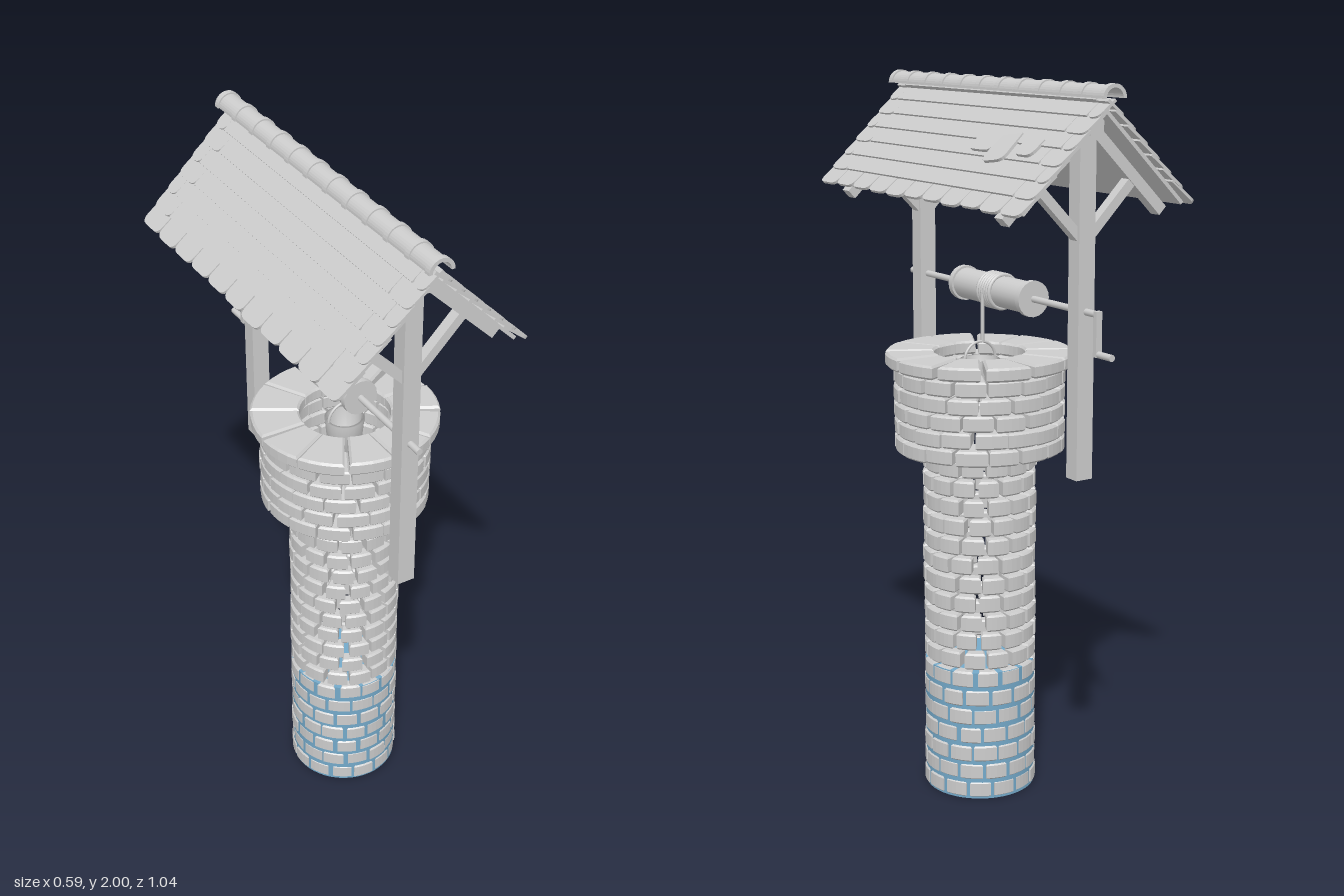
import * as THREE from 'three';
import { mergeGeometries } from 'three/addons/utils/BufferGeometryUtils.js';

const grey = new THREE.MeshStandardMaterial({ color: 0xcccccc });
grey.name = 'weathered grey';
const blue = new THREE.MeshStandardMaterial({ color: 0x74a9c9 });
blue.name = 'water blue';

const WELL_X = 0.037;   // axis of the masonry
const FRAME_X = -0.022; // axis of the timber frame and roof
const PITCH = 0.775;    // roof slope angle
const APEX = 1.957;

export function createModel() {
  const model = new THREE.Group();
  model.name = 'well';
  let seed = 7;
  const jitter = (a) => {
    seed = (seed * 16807) % 2147483647;
    return (seed / 2147483647 - 0.5) * 2 * a;
  };

  const add = (parent, name, geometry, x = 0, y = 0, z = 0, material = grey) => {
    const mesh = new THREE.Mesh(geometry, material);
    mesh.name = name;
    mesh.position.set(x, y, z);
    parent.add(mesh);
    return mesh;
  };
  const box = (w, h, d) => new THREE.BoxGeometry(w, h, d);
  const rod = (r, length) => new THREE.CylinderGeometry(r, r, length, 20).rotateX(Math.PI / 2);

  // One bevelled stone: a ring sector pushed upwards
  const stone = (inner, outer, a0, a1, y, height, bevel) => {
    const shape = new THREE.Shape();
    shape.absarc(0, 0, outer, a0, a1, false);
    shape.absarc(0, 0, inner, a1, a0, true);
    return new THREE.ExtrudeGeometry(shape, {
      depth: height - 2 * bevel, curveSegments: 2, bevelEnabled: true,
      bevelSize: bevel, bevelOffset: -bevel, bevelThickness: bevel, bevelSegments: 1,
    }).rotateX(-Math.PI / 2).translate(0, y + bevel, 0);
  };
  const course = (name, inner, outer, count, y, height, gap, start, bevel = 0.005) => {
    const step = (Math.PI * 2) / count;
    const half = gap / outer / 2;
    const stones = [];
    for (let i = 0; i < count; i++) {
      const a = start + i * step;
      stones.push(stone(inner, outer + jitter(0.002), a + half + jitter(0.02),
        a + step - half + jitter(0.02), y + jitter(0.0015), height, bevel));
    }
    add(model, name, mergeGeometries(stones), WELL_X, 0, 0);
  };

  // Masonry: shaft, wider head and coping
  for (let i = 0; i < 18; i++) {
    course('shaftCourse', 0.122, 0.158, 14, 0.003 + i * 0.055, 0.047, 0.011, (i % 2) * 0.224 + jitter(0.12));
  }
  for (let i = 0; i < 5; i++) {
    course('headCourse', 0.135, 0.235, 16, 0.99 + i * 0.047, 0.043, 0.009, (i % 2) * 0.196 + jitter(0.08));
  }
  course('copingStones', 0.125, 0.257, 12, 1.226, 0.038, 0.009, 0, 0.006);
  add(model, 'water', new THREE.CylinderGeometry(0.1555, 0.1555, 0.378, 48), WELL_X, 0.189, 0, blue);

  // Timber frame with braces
  for (const z of [-0.39, 0.39]) {
    add(model, 'post', box(0.05, 0.94, 0.046), FRAME_X, 1.45, z);
    for (const s of [-1, 1]) {
      const brace = add(model, 'brace', box(0.026, 0.22, 0.03), FRAME_X + s * 0.085, 1.685, z);
      brace.rotation.z = -s * 0.78;
    }
  }
  add(model, 'ridgeBeam', box(0.04, 0.045, 0.9), FRAME_X, 1.893, 0);

  // Roof tile with two rounded lower corners; its lower edge lies at x = 0
  const tile = (w, length, r = 0.024) => {
    const shape = new THREE.Shape();
    shape.moveTo(-length, -w / 2);
    shape.lineTo(-r, -w / 2);
    shape.quadraticCurveTo(0, -w / 2, 0, -w / 2 + r);
    shape.lineTo(0, w / 2 - r);
    shape.quadraticCurveTo(0, w / 2, -r, w / 2);
    shape.lineTo(-length, w / 2);
    return new THREE.ExtrudeGeometry(shape, { depth: 0.008, bevelEnabled: false, curveSegments: 4 })
      .rotateX(-Math.PI / 2);
  };

  // Two slopes: local x runs down the slope, local y points out of the roof
  const makeSlope = (turn) => {
    const side = new THREE.Group();
    side.name = 'roofSide';
    side.position.set(FRAME_X, APEX, 0);
    side.rotation.y = turn;
    model.add(side);
    const slope = new THREE.Group();
    slope.name = 'roofSlope';
    slope.rotation.z = -PITCH;
    side.add(slope);

    add(slope, 'roofBoard', box(0.36, 0.01, 0.97), 0.18, -0.017, 0);
    for (const z of [-0.39, 0.39]) add(slope, 'rafter', box(0.36, 0.03, 0.036), 0.198, -0.037, z);

    const lay = (name, geometry, x, z, lift = -0.003) => {
      const mesh = add(slope, name, geometry, x, lift, z);
      mesh.rotation.z = 0.1;
      return mesh;
    };
    for (let i = 0; i < 6; i++) {
      const end = 0.06 + i * 0.0535;
      const w = i % 2 ? 0.09 : 0.05;
      const length = Math.min(0.09, end + 0.01);
      lay('tileRow', box(length, 0.008, 1.02 - 2 * w).translate(-length / 2, 0.004, 0), end - 0.004, 0);
      for (const s of [-1, 1]) lay('vergeTile', tile(w - 0.002, length), end, s * (0.51 - w / 2));
    }
    for (let i = 0; i < 11; i++) {
      lay('eaveTile', tile(0.089, 0.1), 0.381 + jitter(0.003), (i - 5) * 0.0927);
    }
    return lay;
  };
  makeSlope(Math.PI);
  const lay = makeSlope(0);

  // Slipped tiles on the left slope
  lay('slippedTile', tile(0.075, 0.06), 0.204, -0.338, 0.004);
  lay('slippedTile', tile(0.1, 0.06), 0.204, -0.14, 0.004);
  const loose = lay('looseTile', tile(0.085, 0.1), 0.236, -0.24, 0.008);
  loose.rotation.y = 0.18;

  // Ridge of overlapping half pipes
  const halfPipe = (outer, length) => {
    const shape = new THREE.Shape();
    shape.absarc(0, 0, outer, 0, Math.PI, false);
    shape.absarc(0, 0, 0.026, Math.PI, 0, true);
    return new THREE.ExtrudeGeometry(shape, { depth: length, bevelEnabled: false, curveSegments: 8 });
  };
  const RIDGE_Y = 1.964;
  for (let i = 0; i < 11; i++) {
    const z = -0.52 + i * 0.0935;
    add(model, 'ridgeTile', halfPipe(0.032, 0.0935), FRAME_X, RIDGE_Y, z);
    add(model, 'ridgeCollar', halfPipe(0.036, 0.018), FRAME_X, RIDGE_Y, z);
  }
  add(model, 'ridgeCollar', halfPipe(0.036, 0.018), FRAME_X, RIDGE_Y, 0.502);

  // Windlass with crank
  const AXLE_Y = 1.424;
  add(model, 'axle', rod(0.009, 0.92), FRAME_X, AXLE_Y, -0.005);
  add(model, 'drum', rod(0.043, 0.34), FRAME_X, AXLE_Y, 0);
  for (const z of [-0.167, 0.167]) add(model, 'drumRim', rod(0.049, 0.018), FRAME_X, AXLE_Y, z);
  add(model, 'crankArm', box(0.018, 0.118, 0.014), FRAME_X, 1.374, -0.462);
  add(model, 'crankHandle', rod(0.009, 0.066), FRAME_X, 1.322, -0.492);

  // Rope and bucket
  for (let i = 0; i < 6; i++) {
    add(model, 'ropeCoil', new THREE.TorusGeometry(0.046, 0.006, 8, 24), FRAME_X, AXLE_Y, (i - 2.5) * 0.011);
  }
  add(model, 'rope', new THREE.CylinderGeometry(0.005, 0.005, 0.14, 8), 0.027, 1.354, 0);
  const profile = [[0, 0], [0.044, 0], [0.055, 0.11], [0.047, 0.11], [0.038, 0.01], [0, 0.01]];
  const bucket = new THREE.LatheGeometry(profile.map(([x, y]) => new THREE.Vector2(x, y)), 20);
  add(model, 'bucket', bucket, 0.035, 1.13, 0);
  add(model, 'bucketHandle', new THREE.TorusGeometry(0.05, 0.004, 8, 20, Math.PI), 0.035, 1.238, 0);

  return model;
}
